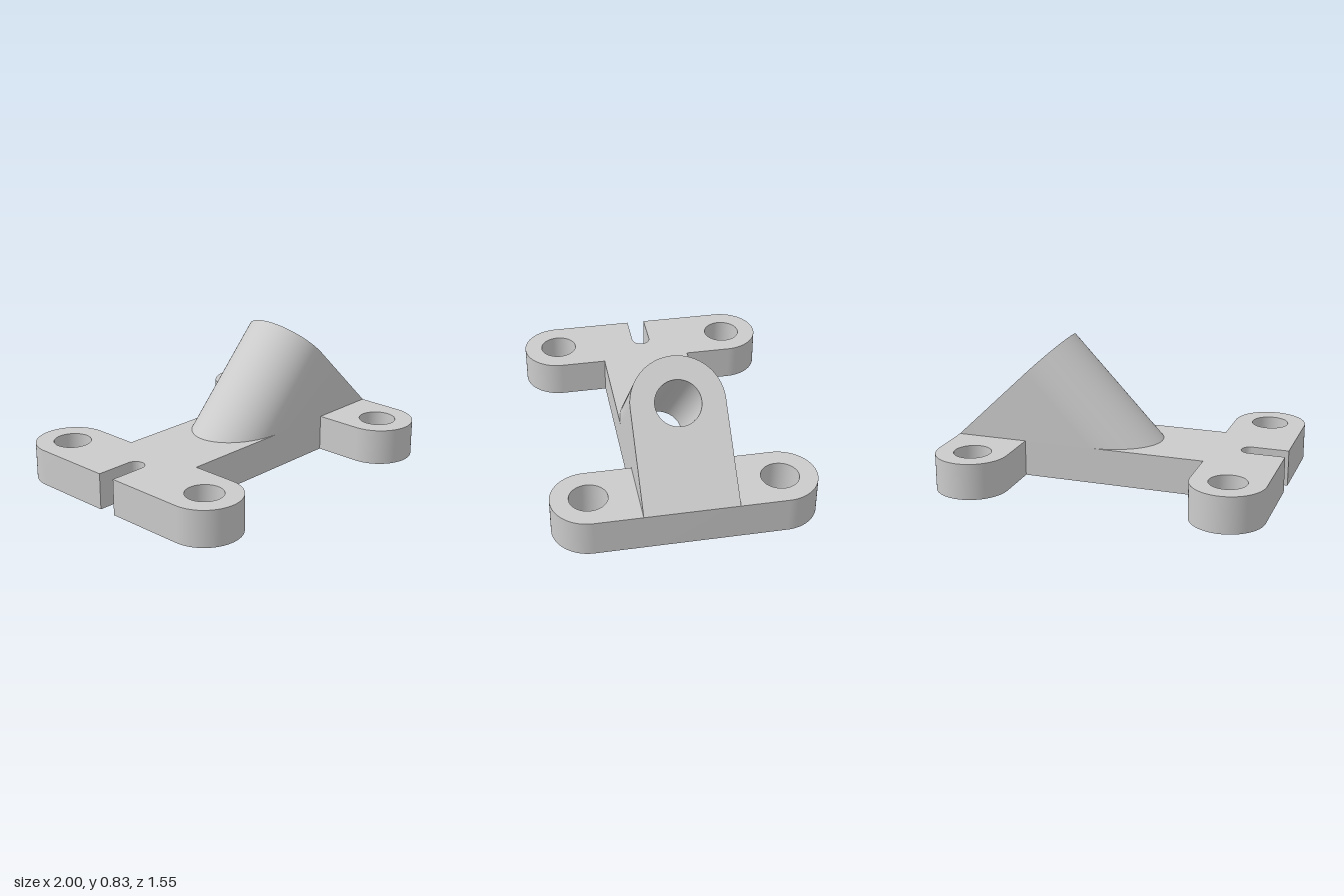
import * as THREE from 'three';
import { toCreasedNormals } from 'three/addons/utils/BufferGeometryUtils.js';

const H = 0.22;                    // plate thickness
const W = 0.275;                   // half width of web and lug
const EAR = 0.22, EARX = 0.78, EARZ = 0.555, BOLT = 0.112;
const SLOT = 0.056;
const C = 0.724, S = 0.690;        // cosine and sine of the lug face slope
const LUG = 0.616, BORE = 0.135;   // distance up the slope to the bore, bore radius
const SEG = 32, PI = Math.PI;

const material = new THREE.MeshStandardMaterial({ color: 0xcccccc });

// Plan coordinates (x, y) lie on the ground as (x, height, -y)
const lay = (p, h) => new THREE.Vector3(p.x, h, -p.y);
// Point on the sloping lug face: x across, y up the slope
const onFace = (p) => new THREE.Vector3(1 - p.y * C, H + p.y * S, -p.x);
// Slide a point down the bore direction to a given height
const drop = (v, y) => new THREE.Vector3(v.x - (v.y - y) * S / C, y, v.z);

function loop(path) {
  const pts = path.getPoints(SEG);
  if (pts[0].distanceTo(pts[pts.length - 1]) < 1e-6) pts.pop();
  return pts;
}

function circle(x, y, r) {
  return new THREE.Path().absarc(x, y, r, 0, 2 * PI, false);
}

// Ruled wall between two matching loops, anticlockwise loops face outwards
function wall(low, high, closed = true) {
  const v = [];
  const n = low.length;
  for (let i = 0; i < (closed ? n : n - 1); i++) {
    const j = (i + 1) % n;
    for (const p of [low[i], low[j], high[j], low[i], high[j], high[i]]) v.push(p.x, p.y, p.z);
  }
  const g = new THREE.BufferGeometry();
  g.setAttribute('position', new THREE.Float32BufferAttribute(v, 3));
  return toCreasedNormals(g, 0.5);
}

function verticalWall(pts) {
  return wall(pts.map((p) => lay(p, 0)), pts.map((p) => lay(p, H)));
}

// Left end of the outline, from the rear web corner round to the front one
function leftEnd(s) {
  s.lineTo(-EARX + EAR, W);
  s.absarc(-EARX, EARZ, EAR, 0, PI, false);
  s.lineTo(-1, SLOT);
  s.absarc(-EARX, 0, SLOT, PI / 2, -PI / 2, true);
  s.lineTo(-1, -SLOT);
  s.absarc(-EARX, -EARZ, EAR, PI, 2 * PI, false);
  s.lineTo(-EARX + EAR, -W);
}

export function createModel() {
  const model = new THREE.Group();
  const plate = new THREE.Group();
  plate.name = 'basePlate';
  const lug = new THREE.Group();
  lug.name = 'slopingLug';
  model.add(plate, lug);
  const add = (group, name, geometry) => {
    const m = new THREE.Mesh(geometry, material);
    m.name = name;
    group.add(m);
  };

  // Plate outline with four rounded ears and the open slot
  const inner = EARX - EAR;
  const outline = new THREE.Shape();
  outline.moveTo(inner, W);
  leftEnd(outline);
  outline.lineTo(inner, -W);
  outline.absarc(EARX, -EARZ, EAR, PI, 2 * PI, false);
  outline.absarc(EARX, EARZ, EAR, 0, PI, false);
  add(plate, 'plateEdge', verticalWall(loop(outline)));

  // Bolt holes
  for (const x of [-EARX, EARX]) for (const y of [-EARZ, EARZ]) {
    outline.holes.push(circle(x, y, BOLT));
    add(plate, 'boltHole', verticalWall(loop(circle(x, y, BOLT)).reverse()));
  }

  // Inclined bore, from the lug face through to the underside
  const boreTop = loop(circle(0, LUG, BORE)).reverse().map(onFace);
  const boreLow = boreTop.map((v) => drop(v, 0));
  add(lug, 'bore', wall(boreLow, boreTop));

  // Underside
  outline.holes.push(new THREE.Path(boreLow.map((v) => new THREE.Vector2(v.x, v.z))));
  add(plate, 'underside', new THREE.ShapeGeometry(outline, SEG).rotateX(PI / 2));

  // Top of the left end and web, cut away around the lug foot
  const footX = 1 - LUG / C;
  const top = new THREE.Shape();
  top.moveTo(footX, W);
  leftEnd(top);
  top.lineTo(footX, -W);
  top.absellipse(footX, 0, W / C, W, -PI / 2, -1.5 * PI, true);
  for (const y of [-EARZ, EARZ]) top.holes.push(circle(-EARX, y, BOLT));
  add(plate, 'plateTop', new THREE.ShapeGeometry(top, SEG).rotateX(-PI / 2).translate(0, H, 0));

  // Tops of the two right ears
  const ear = new THREE.Shape();
  ear.moveTo(inner, -W);
  ear.lineTo(inner, -EARZ);
  ear.absarc(EARX, -EARZ, EAR, PI, 2 * PI, false);
  ear.lineTo(1, -W);
  ear.holes.push(circle(EARX, -EARZ, BOLT));
  for (const turn of [0, PI]) {
    const g = new THREE.ShapeGeometry(ear, SEG).translate(-EARX, 0, 0).rotateX(-PI / 2);
    add(plate, 'earTop', g.rotateY(turn).translate(EARX, H, 0));
  }

  // Lug: round-topped profile swept square to its sloping face
  const profile = new THREE.Shape();
  profile.moveTo(W, 0);
  profile.lineTo(W, LUG);
  profile.absarc(0, LUG, W, 0, PI, false);
  profile.lineTo(-W, 0);
  const rim = loop(profile).map(onFace);
  add(lug, 'lugSides', wall(rim.map((v) => drop(v, H)), rim, false));

  profile.holes.push(circle(0, LUG, BORE));
  const face = new THREE.ShapeGeometry(profile, SEG);
  const pos = face.attributes.position;
  for (let i = 0; i < pos.count; i++) {
    const v = onFace(new THREE.Vector2(pos.getX(i), pos.getY(i)));
    pos.setXYZ(i, v.x, v.y, v.z);
  }
  face.computeVertexNormals();
  add(lug, 'lugFace', face);

  return model;
}
